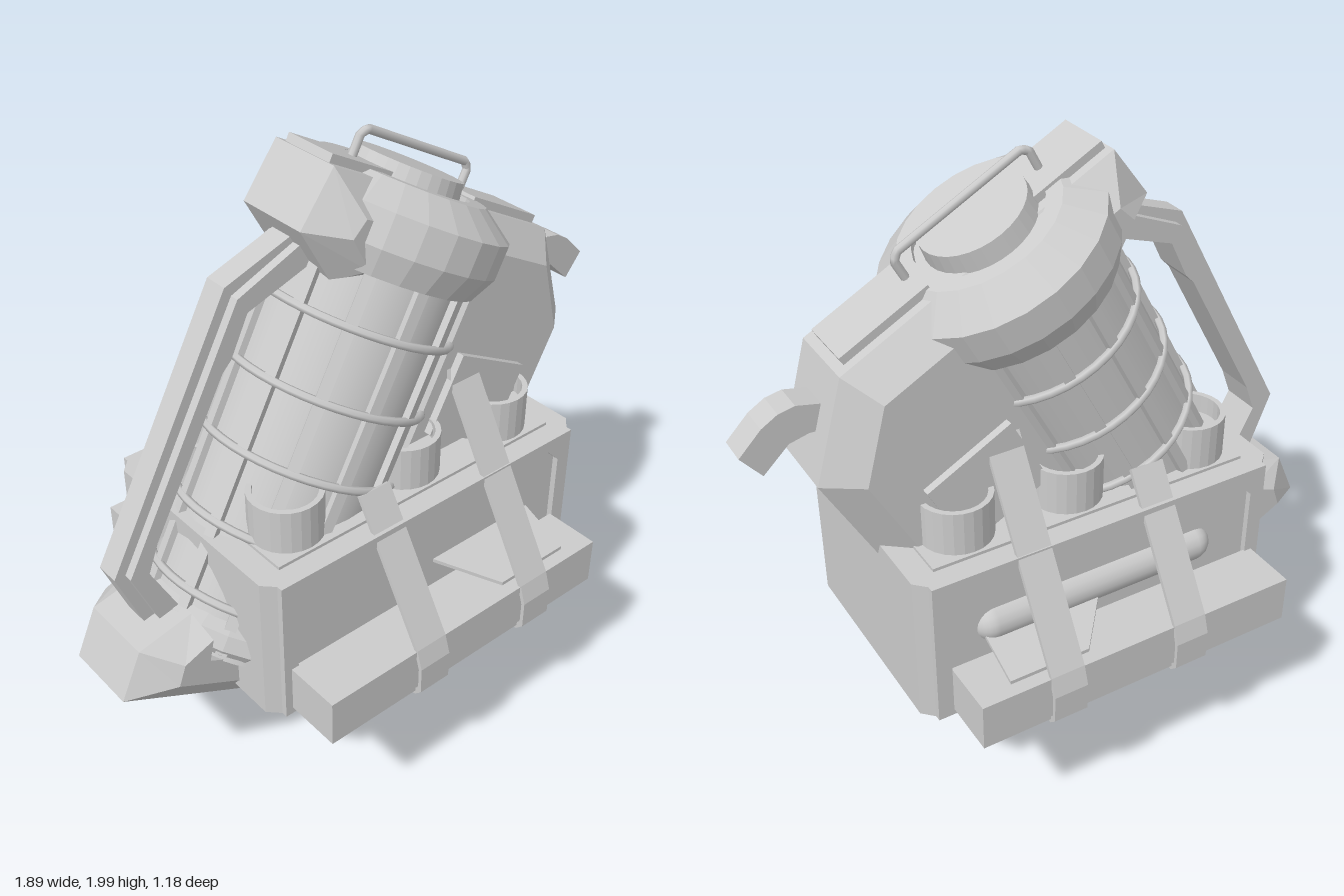
import * as THREE from 'three';

const mat = new THREE.MeshStandardMaterial({ color: 0xcccccc, flatShading: true, side: THREE.DoubleSide });
const smooth = new THREE.MeshStandardMaterial({ color: 0xcccccc, side: THREE.DoubleSide });
const V2 = (p) => new THREE.Vector2(p[0], p[1]);

function add(parent, name, geo, x = 0, y = 0, z = 0, m = mat) {
  const mesh = new THREE.Mesh(geo, m);
  mesh.name = name;
  mesh.position.set(x, y, z);
  parent.add(mesh);
  return mesh;
}
const box = (w, h, d) => new THREE.BoxGeometry(w, h, d);

// Flat outline extruded to a given depth, centred on z
function plate(points, depth, hole) {
  const shape = new THREE.Shape(points.map(V2));
  if (hole) shape.holes.push(new THREE.Path(hole.map(V2)));
  return new THREE.ExtrudeGeometry(shape, { depth, bevelEnabled: false }).translate(0, 0, -depth / 2);
}

// Slab whose outline shrinks from "outer" (z = +-zo) to "face" (z = +-zf)
function chamferedSlab(outer, face, zo, zf) {
  const pos = [], n = outer.length;
  const loops = [[face, -zf], [outer, -zo], [outer, zo], [face, zf]];
  const at = (l, i) => [...loops[l][0][i % n], loops[l][1]];
  for (let l = 0; l < 3; l++) {
    for (let i = 0; i < n; i++) {
      const a = at(l, i), b = at(l, i + 1), c = at(l + 1, i + 1), d = at(l + 1, i);
      pos.push(...a, ...b, ...c, ...a, ...c, ...d);
    }
  }
  for (const [a, b, c] of THREE.ShapeUtils.triangulateShape(face.map(V2), [])) {
    pos.push(...at(3, a), ...at(3, b), ...at(3, c), ...at(0, a), ...at(0, c), ...at(0, b));
  }
  const g = new THREE.BufferGeometry();
  g.setAttribute('position', new THREE.Float32BufferAttribute(pos, 3));
  g.computeVertexNormals();
  return g;
}

// Rectangle with cut corners
const octagon = (x0, y0, x1, y1, c) => [[x0 + c, y0], [x1 - c, y0], [x1, y0 + c], [x1, y1 - c],
  [x1 - c, y1], [x0 + c, y1], [x0, y1 - c], [x0, y0 + c]];

function createCanister() {
  const g = new THREE.Group();
  g.name = 'tiltedCanister';
  g.position.set(0.11, 0.01, 0);
  g.rotation.z = -0.494;
  const axis = -0.78;

  // C-shaped frame: base, spine and top arm
  const outer = [[-1.2, 0], [0, 0], [0, 1.37], [-0.23, 1.605], [-1.17, 1.605], [-1.2, 1.42], [-1.03, 1.31],
    [-0.6, 1.31], [-0.6, 0.75], [-0.2, 0.6], [-0.2, 0.18], [-1.02, 0.18], [-1.07, 0.285], [-1.21, 0.165]];
  const face = [[-1.1, 0.1], [-0.1, 0.1], [-0.1, 1.33], [-0.27, 1.51], [-1.08, 1.51], [-1.1, 1.45], [-1.0, 1.38],
    [-0.6, 1.38], [-0.6, 0.75], [-0.2, 0.6], [-0.2, 0.18], [-1.02, 0.18], [-1.04, 0.25], [-1.11, 0.17]];
  add(g, 'frame', chamferedSlab(outer, face, 0.12, 0.21));
  add(g, 'topPlateRear', box(0.3, 0.06, 0.18), -0.41, 1.6, 0);
  add(g, 'topPlateFront', box(0.3, 0.06, 0.18), -1.01, 1.6, 0);
  for (const s of [-1, 1]) add(g, 'sidePlate', box(0.3, 0.26, 0.04), -0.36, 1.07, s * 0.215);

  // Glass tube with cage of bars and rings
  add(g, 'tube', new THREE.CylinderGeometry(0.285, 0.285, 1.25, 32), axis, 0.8, 0, smooth);
  for (let i = 0; i < 12; i++) {
    const a = (i + 0.5) * Math.PI / 6;
    const bar = add(g, 'cageBar', box(0.03, 1.2, 0.035), axis + 0.29 * Math.cos(a), 0.8, 0.29 * Math.sin(a));
    bar.rotation.y = -a;
  }
  for (const v of [0.34, 0.56, 0.78, 1.0, 1.22]) {
    const ring = add(g, 'cageRing', new THREE.TorusGeometry(0.302, 0.013, 6, 40), axis, v, 0, smooth);
    ring.rotation.x = Math.PI / 2;
  }

  // Collars and cap
  const collar = [[0.28, 1.37], [0.31, 1.37], [0.35, 1.45], [0.35, 1.55], [0.25, 1.62], [0.2, 1.62], [0.2, 1.6], [0, 1.6]];
  add(g, 'topCollar', new THREE.LatheGeometry(collar.map(V2), 24), axis, 0, 0);
  const foot = [[0, 0.15], [0.24, 0.15], [0.32, 0.22], [0.32, 0.27], [0.28, 0.3]];
  add(g, 'bottomCollar', new THREE.LatheGeometry(foot.map(V2), 24), axis, 0, 0);
  add(g, 'cap', new THREE.CylinderGeometry(0.165, 0.175, 0.08, 32), axis, 1.62, 0);

  // Wire carrying loop
  const loop = new THREE.CurvePath();
  const pts = [[-1.0, 1.6], [-1.0, 1.69], [-0.98, 1.71], [-0.555, 1.71], [-0.535, 1.69], [-0.535, 1.6]]
    .map((p) => new THREE.Vector3(p[0], p[1], 0));
  for (let i = 0; i < 5; i++) loop.add(new THREE.LineCurve3(pts[i], pts[i + 1]));
  add(g, 'wireLoop', new THREE.TubeGeometry(loop, 60, 0.013, 8), 0, 0, 0, smooth);
  return g;
}

function createCrate() {
  const g = new THREE.Group();
  g.name = 'crate';
  // Body with cut vertical corners
  const body = plate(octagon(-0.61, -0.37, 0.605, 0.37, 0.035), 0.49).rotateX(-Math.PI / 2);
  add(g, 'crateBody', body, 0, 0.725, 0);
  add(g, 'crateLid', box(1.06, 0.02, 0.64), 0, 0.97, 0);

  for (const s of [-1, 1]) {
    // Raised rim around the side panel
    const rim = plate([[-0.575, 0.48], [0.57, 0.48], [0.57, 0.97], [-0.575, 0.97]], 0.03,
      octagon(-0.525, 0.51, 0.52, 0.93, 0.05));
    add(g, 'panelRim', rim, 0, 0, s * 0.374);
    add(g, 'sideBar', box(1.07, 0.155, 0.185), -0.015, 0.578, s * 0.475);

    // Open cups along the top
    const cup = [[0, 0.95], [0.112, 0.95], [0.112, 1.12], [0.095, 1.12], [0.095, 1.06], [0, 1.06]].map(V2);
    for (const x of [-0.41, 0.03, 0.395]) add(g, 'cup', new THREE.LatheGeometry(cup, 24), x, 0, s * 0.2);

    // Straps wrapped around the bar: profile of (z, y) pairs
    for (const [x, top] of [[-0.18, [0.315, 1.07]], [0.245, [0.2, 1.28]]]) {
      const line = [top, [0.57, 0.66], [0.59, 0.6], [0.59, 0.51], [0.565, 0.485], [0.36, 0.482]];
      const inner = line.map(([z, y], i) => [z - (i < 5 ? 0.012 : 0), y + (i > 2 ? 0.012 : -0.006)]);
      const strap = plate([...line, ...inner.reverse()], 0.11);
      strap.rotateY(-Math.PI / 2);
      const m = add(g, 'strap', strap, x, 0, 0);
      m.scale.z = s;
    }

    // Thin loose flap above the bar
    const flap = plate([[0, 0.36], [0.41, 0.36], [0.41, 0.53], [0.15, 0.53]], 0.012);
    flap.rotateX(Math.PI / 2);
    const f = add(g, 'flap', flap, 0, 0.89, 0);
    f.geometry.applyMatrix4(new THREE.Matrix4().makeShear(0, 0, 0, 0, 0, -0.42));
    f.geometry.computeVertexNormals();
    f.scale.z = s;
  }

  // Roll stored in the rear panel
  const roll = new THREE.CapsuleGeometry(0.06, 0.7, 6, 16).rotateZ(Math.PI / 2);
  add(g, 'rearRoll', roll, 0.02, 0.75, -0.35, smooth);
  return g;
}

export function createModel() {
  const model = new THREE.Group();
  model.name = 'lanternWithCrate';
  model.add(createCanister(), createCrate());

  // Side handle: a wide inner grip with a narrower outer strip
  const grip = [[-0.2, 1.77], [-0.44, 1.67], [-0.845, 0.94], [-0.74, 0.68], [-0.68, 0.72], [-0.785, 0.93],
    [-0.75, 1.02], [-0.5, 1.47], [-0.47, 1.5], [-0.41, 1.62], [-0.2, 1.69]];
  add(model, 'handleGrip', plate(grip, 0.13));
  const strip = [[-0.2, 1.79], [-0.46, 1.7], [-0.88, 0.94], [-0.78, 0.68], [-0.74, 0.69], [-0.83, 0.94], [-0.43, 1.66], [-0.2, 1.74]];
  add(model, 'handleStrip', plate(strip, 0.075));

  // Rear hook
  const hook = [[0.66, 1.34], [0.74, 1.345], [0.8, 1.33], [0.88, 1.255], [0.94, 1.33], [0.87, 1.4], [0.82, 1.43], [0.77, 1.44], [0.68, 1.42]];
  add(model, 'hook', plate(hook, 0.095));

  // Curved spout under the crate
  const path = new THREE.CatmullRomCurve3([[0.0, 0.42, 0.1], [-0.1, 0.35, 0.22], [-0.13, 0.42, 0.31], [-0.12, 0.58, 0.36]]
    .map((p) => new THREE.Vector3(...p)));
  add(model, 'spout', new THREE.TubeGeometry(path, 20, 0.055, 12), 0, 0, 0, smooth);
  return model;
}
